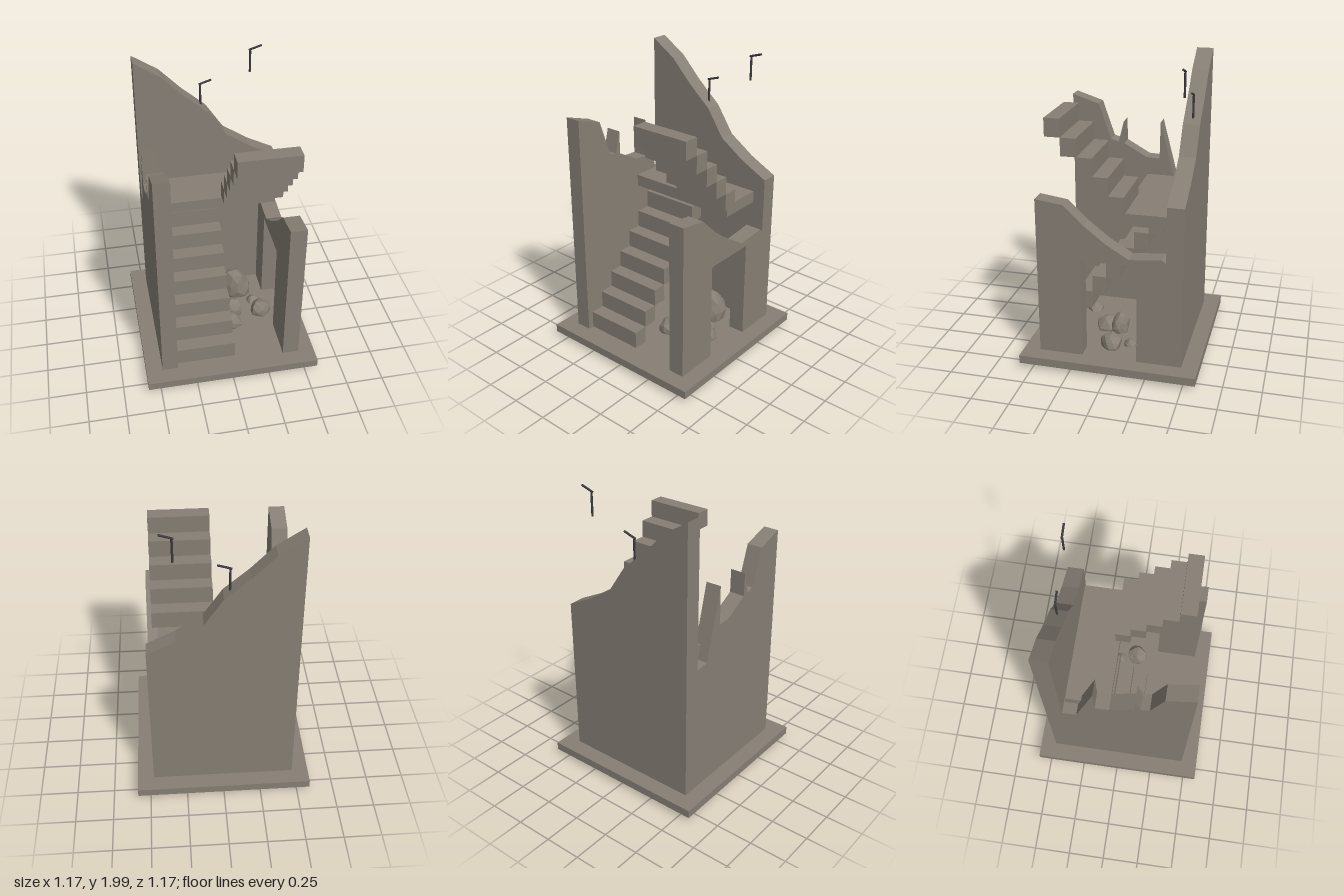
import * as THREE from 'three';

const stone = new THREE.MeshStandardMaterial({ color: 0x877f75, flatShading: true });
stone.name = 'weathered stone';
const iron = new THREE.MeshStandardMaterial({ color: 0x3c3c3e });
iron.name = 'dark iron';

const FLOOR = 0.09;

function add(parent, name, geometry, material = stone) {
  const mesh = new THREE.Mesh(geometry, material);
  mesh.name = name;
  parent.add(mesh);
  return mesh;
}

// Box given by its limits on each axis
function block(parent, name, [x0, x1], [y0, y1], [z0, z1]) {
  const mesh = add(parent, name, new THREE.BoxGeometry(x1 - x0, y1 - y0, z1 - z0));
  mesh.position.set((x0 + x1) / 2, (y0 + y1) / 2, (z0 + z1) / 2);
}

// Wall slab from a flat outline
function slab(outline, depth) {
  const shape = new THREE.Shape(outline.map(([u, v]) => new THREE.Vector2(u, v)));
  return new THREE.ExtrudeGeometry(shape, { depth, bevelEnabled: false });
}

// Wall along z: the outline runs in z and y, the slab ends at xMax
function sideWall(parent, name, outline, xMax, depth) {
  const geometry = slab(outline, depth);
  geometry.rotateY(-Math.PI / 2);
  geometry.translate(xMax, 0, 0);
  add(parent, name, geometry);
}

// Faceted stone whose corners are pushed in and out by a repeatable rule
function rock(parent, [x, y, z], [rx, ry, rz], seed) {
  const geometry = new THREE.IcosahedronGeometry(1, 1);
  const p = geometry.attributes.position;
  const v = new THREE.Vector3();
  for (let i = 0; i < p.count; i++) {
    v.fromBufferAttribute(p, i);
    const s = Math.sin(Math.round(v.x * 50) * 1.27 + Math.round(v.y * 50) * 3.11
      + Math.round(v.z * 50) * 7.47 + seed * 5.3) * 437.5;
    v.multiplyScalar(0.78 + 0.26 * (s - Math.floor(s)));
    p.setXYZ(i, v.x * rx, v.y * ry, v.z * rz);
  }
  geometry.computeVertexNormals();
  add(parent, 'rubbleStone', geometry).position.set(x, y, z);
}

// Thin round bar between two points
function rod(parent, name, a, b) {
  const from = new THREE.Vector3(...a), to = new THREE.Vector3(...b);
  const dir = to.clone().sub(from);
  const mesh = add(parent, name, new THREE.CylinderGeometry(0.007, 0.007, dir.length(), 8), iron);
  mesh.position.copy(from).add(to).multiplyScalar(0.5);
  mesh.quaternion.setFromUnitVectors(new THREE.Vector3(0, 1, 0), dir.normalize());
}

export function createModel() {
  const model = new THREE.Group();
  model.name = 'ruinedStairwell';

  block(model, 'baseSlab', [-0.585, 0.585], [0.035, FLOOR], [-0.585, 0.585]);

  // Back wall with a broken top falling towards +x
  const back = slab([
    [-0.475, FLOOR], [0.475, FLOOR], [0.475, 1.18], [0.29, 1.275], [0.12, 1.39],
    [0, 1.57], [-0.16, 1.71], [-0.305, 1.86], [-0.475, 1.97],
  ], 0.11);
  back.translate(0, 0, -0.475);
  add(model, 'backWall', back);

  // Jagged wall on the -x side
  sideWall(model, 'jaggedWall', [
    [-0.365, FLOOR], [0.475, FLOOR], [0.475, 1.63], [0.29, 1.57], [0.205, 1.325],
    [0.15, 1.31], [0.113, 1.457], [0.11, 1.30], [-0.05, 1.21], [-0.142, 1.205],
    [-0.146, 1.465], [-0.27, 0.99], [-0.365, 0.98],
  ], -0.37, 0.105);

  // Wall with the doorway on the +x side
  sideWall(model, 'doorwayWall', [
    [-0.365, FLOOR], [-0.18, FLOOR], [-0.18, 0.77], [0.185, 0.77], [0.185, FLOOR],
    [0.475, FLOOR], [0.475, 1.16], [0.29, 1.135], [0.16, 1.01], [0.02, 0.90],
    [-0.13, 0.81], [-0.34, 0.83], [-0.365, 0.81],
  ], 0.475, 0.11);

  // Lower flight climbs to the back, upper flight returns to the front
  const stairs = new THREE.Group();
  stairs.name = 'stairs';
  model.add(stairs);
  for (let i = 0; i < 8; i++) {
    const front = 0.434 - i * 0.0985, y = FLOOR + i * 0.12;
    block(stairs, 'lowerStep', [-0.37, 0.035], [y, y + 0.12], [front - 0.0985, front]);
  }
  block(stairs, 'landing', [-0.405, 0.402], [1.008, 1.087], [-0.35, -0.058]);
  for (let i = 0; i < 5; i++) {
    const z = -0.088 + i * 0.0995, y = 1.087 + i * 0.1175;
    block(stairs, 'upperStep', [0.035, 0.438], [y, y + 0.1175], [z, z + 0.0995]);
  }

  // Fallen stones, partly sunk through the base
  const rubble = new THREE.Group();
  rubble.name = 'rubble';
  model.add(rubble);
  [
    [[0.17, 0.155, -0.21], [0.12, 0.155, 0.11]],
    [[0.31, 0.10, 0.03], [0.08, 0.09, 0.08]],
    [[0.07, 0.105, 0.12], [0.085, 0.085, 0.08]],
    [[0.09, 0.125, 0.02], [0.08, 0.105, 0.07]],
    [[0.27, 0.08, -0.09], [0.05, 0.055, 0.05]],
    [[-0.17, 0.08, 0.27], [0.065, 0.065, 0.065]],
  ].forEach(([centre, radii], i) => rock(rubble, centre, radii, i + 1));

  // Bent reinforcing bars above the back wall
  [[-0.04, 1.595], [0.29, 1.81]].forEach(([x, y]) => {
    const bar = new THREE.Group();
    bar.name = 'bentBar';
    model.add(bar);
    rod(bar, 'barStem', [x, y, -0.423], [x, y + 0.15, -0.423]);
    rod(bar, 'barTip', [x - 0.01, y + 0.155, -0.423], [x + 0.075, y + 0.182, -0.423]);
  });

  return model;
}
